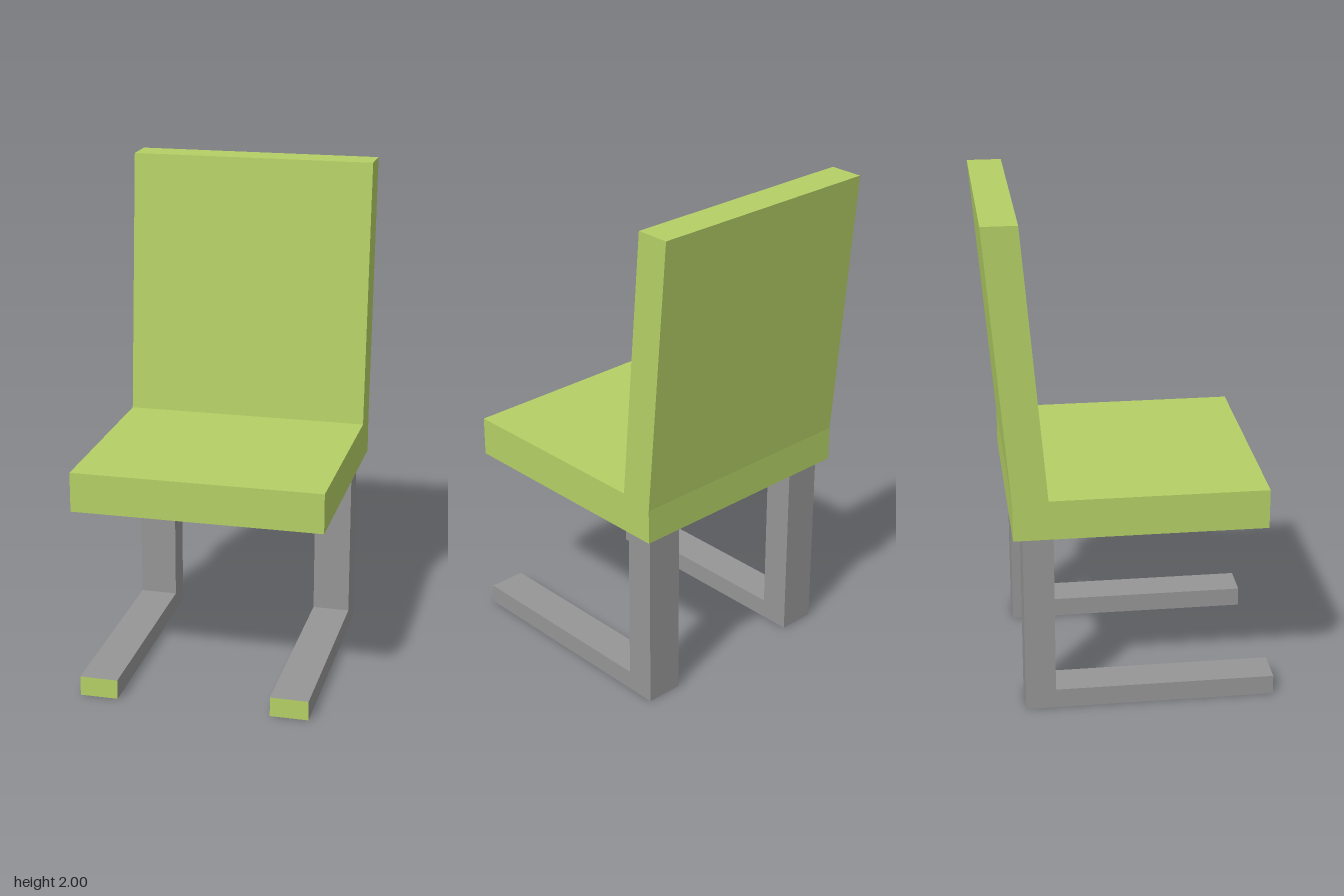
import * as THREE from 'three';

export function createModel() {
  const green = new THREE.MeshStandardMaterial({ color: 0xb5d066 });
  green.name = 'lime upholstery';
  const gray = new THREE.MeshStandardMaterial({ color: 0x969696 });
  gray.name = 'gray metal';

  const chair = new THREE.Group();
  chair.name = 'chair';

  // Seat and leaning backrest: one side profile of [z, y] points, extruded across x
  const profile = [
    [0.52, 0.76], [0.52, 0.92], [-0.335, 0.92], [-0.427, 2],
    [-0.565, 2], [-0.473, 0.9], [-0.473, 0.76],
  ];
  const shape = new THREE.Shape(profile.map(([z, y]) => new THREE.Vector2(-z, y)));
  const seatGeometry = new THREE.ExtrudeGeometry(shape, { depth: 1, bevelEnabled: false });
  seatGeometry.translate(0, 0, -0.5).rotateY(Math.PI / 2);
  const seat = new THREE.Mesh(seatGeometry, green);
  seat.name = 'seatAndBackrest';
  chair.add(seat);

  // L-shaped legs: upright post at the back, floor runner with a green front end
  const addLeg = (side, x) => {
    const leg = new THREE.Group();
    leg.name = side + 'Leg';
    leg.position.x = x;

    const post = new THREE.Mesh(new THREE.BoxGeometry(0.153, 0.76, 0.12), gray);
    post.name = 'post';
    post.position.set(0, 0.38, -0.375);

    const runner = new THREE.Mesh(
      new THREE.BoxGeometry(0.153, 0.08, 0.88),
      [gray, gray, gray, gray, green, gray],
    );
    runner.name = 'runner';
    runner.position.set(0, 0.04, 0.125);

    leg.add(post, runner);
    chair.add(leg);
  };
  addLeg('left', 0.383);
  addLeg('right', -0.387);

  return chair;
}
